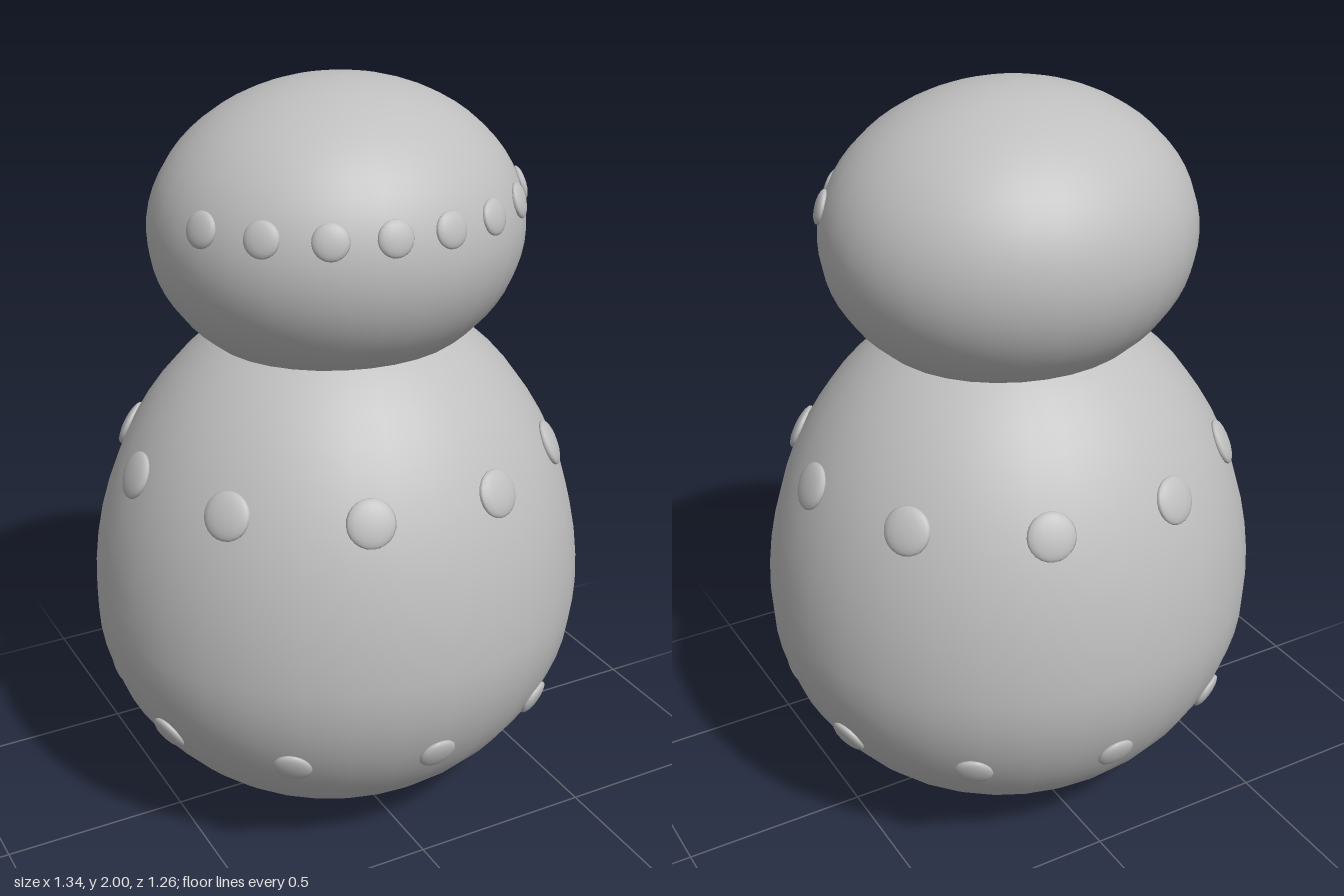
import * as THREE from 'three';

const DEG = Math.PI / 180;

export function createModel() {
  const model = new THREE.Group();
  const grey = new THREE.MeshStandardMaterial({ color: 0xbfbfbf });
  grey.name = 'grey';

  // Egg: ellipsoid with separate heights above and below its widest level
  const body = { y: 0.615, rx: 0.672, rz: 0.63, up: 0.835, down: 0.615 };
  const head = { y: 1.62, rx: 0.49, rz: 0.45, up: 0.38, down: 0.38 };

  function addEgg(name, e) {
    const profile = [];
    for (let i = 0; i <= 32; i++) {
      const a = (-90 + i * 180 / 32) * DEG;
      const s = Math.sin(a);
      profile.push(new THREE.Vector2(Math.max(0, Math.cos(a)), s * (s > 0 ? e.up : e.down)));
    }
    const geo = new THREE.LatheGeometry(profile, 32);
    geo.scale(e.rx, 1, e.rz);
    // LatheGeometry is not re-normalled by a scale of positions alone
    const mesh = new THREE.Mesh(geo, grey);
    mesh.name = name;
    mesh.position.y = e.y;
    model.add(mesh);
  }
  addEgg('body', body);
  addEgg('head', head);

  // Flattened beads lying on an egg's surface, angles measured from +z towards +x
  const beadGeo = new THREE.SphereGeometry(1, 16, 12);
  function addBeads(name, e, y, angles, radius, thickness) {
    const group = new THREE.Group();
    group.name = name;
    const ry = y > e.y ? e.up : e.down;
    const dy = (y - e.y) / ry;
    const k = Math.sqrt(1 - dy * dy);
    for (const deg of angles) {
      const sx = k * Math.sin(deg * DEG), sz = k * Math.cos(deg * DEG);
      const bead = new THREE.Mesh(beadGeo, grey);
      bead.name = 'bead';
      bead.position.set(sx * e.rx, y, sz * e.rz);
      const normal = new THREE.Vector3(sx / e.rx, dy / ry, sz / e.rz).normalize();
      bead.lookAt(bead.position.clone().add(normal));
      bead.scale.set(radius, radius, thickness);
      group.add(bead);
    }
    model.add(group);
  }

  const ring = (start) => Array.from({ length: 10 }, (_, i) => start + i * 36);
  addBeads('upperBeads', body, 1.04, ring(18), 0.062, 0.018);
  addBeads('lowerBeads', body, 0.365, ring(-1), 0.051, 0.016);
  const arc = [9, 27.5, 47.5, 68.5];
  addBeads('headBeads', head, 1.71, [...arc, ...arc.map((a) => -a)], 0.045, 0.015);

  return model;
}
